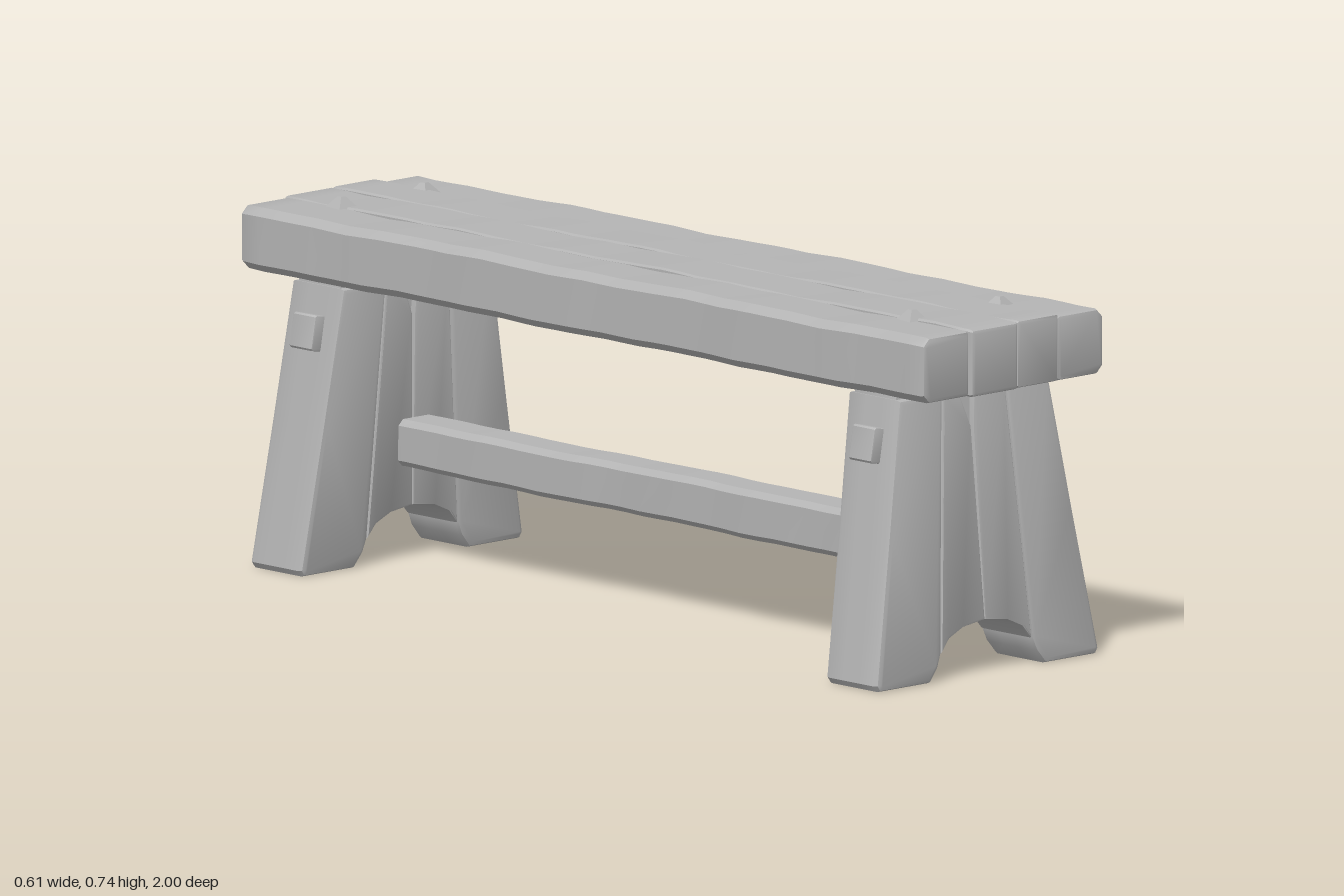
import * as THREE from 'three';
import { toCreasedNormals } from 'three/addons/utils/BufferGeometryUtils.js';

const wood = new THREE.MeshStandardMaterial({ color: 0xb4b4b4 });
wood.name = 'plain grey wood';

const LEG_TOP = 0.575;
const halfWidth = (y) => 0.305 - (0.1 * y) / LEG_TOP;

// Extruded outline, centred in z, with worn edges kept inside the outline
function slab(points, depth, bevel, steps = 1) {
  const shape = new THREE.Shape(points.map(([x, y]) => new THREE.Vector2(x, y)));
  const geo = new THREE.ExtrudeGeometry(shape, {
    depth: depth - 2 * bevel, steps, bevelEnabled: true,
    bevelThickness: bevel, bevelSize: bevel, bevelOffset: -bevel, bevelSegments: 2,
  });
  return geo.translate(0, 0, -depth / 2 + bevel);
}

// Move every vertex by a rule
function bend(geo, rule) {
  const pos = geo.attributes.position;
  const v = new THREE.Vector3();
  for (let i = 0; i < pos.count; i++) {
    v.fromBufferAttribute(pos, i);
    rule(v);
    pos.setXYZ(i, v.x, v.y, v.z);
  }
  return geo;
}

function add(parent, name, geo) {
  const mesh = new THREE.Mesh(toCreasedNormals(geo, 0.7), wood);
  mesh.name = name;
  parent.add(mesh);
  return mesh;
}

// Gentle hand-hewn waviness along z
const wave = (z, k) => Math.sin(z * 9 + k * 2.3) * 0.5 + Math.sin(z * 23 + k * 4.1) * 0.35 + Math.sin(z * 41 + k) * 0.2;

// Rectangle with clipped corners, a different size on each side
function plankOutline(x0, x1, y0, y1, cl, cr) {
  return [[x0 + cl, y0], [x1 - cr, y0], [x1, y0 + cr], [x1, y1 - cr],
    [x1 - cr, y1], [x0 + cl, y1], [x0, y1 - cl], [x0, y0 + cl]];
}

function buildSeat() {
  const seat = new THREE.Group();
  seat.name = 'seat';
  const edges = [-0.247, -0.12, 0.008, 0.122, 0.25];
  const tops = [0.719, 0.722, 0.723, 0.716];
  const lengths = [1.985, 2, 1.994, 1.985];
  for (let i = 0; i < 4; i++) {
    const left = i === 0, right = i === 3;
    const outline = plankOutline(edges[i], edges[i + 1], 0.588, tops[i], left ? 0.016 : 0.004, right ? 0.016 : 0.004);
    const geo = slab(outline, lengths[i], 0.009, 40);
    bend(geo, (v) => {
      const outer = (left && v.x < -0.2) || (right && v.x > 0.2);
      if (outer) v.x += 0.004 * wave(v.z, i);
      if (v.y > 0.66) v.y += 0.003 * wave(v.z, i + 2) + 0.003 * v.z;
      else v.y += 0.002 * wave(v.z, i + 5);
    });
    add(seat, 'seatPlank', geo);
  }
  // Peg heads poking through the top
  for (const [x, z, h] of [[-0.115, 0.82, 0.742], [0.125, 0.82, 0.737], [-0.112, -0.84, 0.738], [0.12, -0.845, 0.735]]) {
    const geo = new THREE.CylinderGeometry(0.008, 0.045, 0.032, 4).rotateY(Math.PI / 4 + x);
    add(seat, 'seatPeg', geo.translate(x, h - 0.016, z));
  }
  return seat;
}

// One trestle end: base and top give the z centre at the floor and at the seat
function buildLeg(name, base, top, thickness) {
  const leg = new THREE.Group();
  leg.name = name;
  const lean = (v) => { v.z += base + ((top - base) * v.y) / 0.59; };
  const seam = 0.42;
  const arch = [[0.1, 0.082], [0.06, 0.1]];

  // Solid core behind the plank seams
  const half = [[0.15, 0.012], [0.121, 0.06], [0.1, 0.09], [0.06, 0.106]];
  const core = [[0.198, 0.6], [0.294, 0.012], ...half, [0, 0.114],
    ...half.map(([x, y]) => [-x, y]).reverse(), [-0.294, 0.012], [-0.198, 0.6]];
  add(leg, 'legCore', bend(slab(core, thickness - 0.03, 0.004), lean));

  for (const s of [1, -1]) {
    const flip = (pts) => pts.map(([x, y]) => [x * s, y]);
    // Splayed outer plank with its foot
    const outer = [[seam * halfWidth(0.055), 0.055], [0.135, 0.028], [0.158, 0],
      [0.297, 0], [0.305, 0.012], [halfWidth(0.3), 0.3],
      [halfWidth(LEG_TOP), LEG_TOP], [seam * halfWidth(LEG_TOP), LEG_TOP]];
    add(leg, 'legOuterPlank', bend(slab(flip(outer), thickness, 0.01, 3), lean));

    // Inner plank above the arch; one side has a split at the top
    const split = s < 0 ? [[0.042, LEG_TOP], [0.012, 0.5]] : [[0.001, LEG_TOP], [-0.006, 0.5]];
    const inner = [[0, 0.108], ...arch.slice().reverse(), [seam * halfWidth(0.055), 0.055],
      [seam * halfWidth(LEG_TOP), LEG_TOP], ...split];
    add(leg, 'legInnerPlank', bend(slab(flip(inner), thickness - 0.004, 0.005, 3), lean));

    // Square peg end, tilted with the leg side
    const peg = slab(plankOutline(-0.03, 0.017, -0.036, 0.036, 0.004, 0.004), 0.066, 0.004);
    const y = 0.482;
    peg.rotateZ(s > 0 ? 0.18 : Math.PI - 0.18);
    peg.translate(s * (halfWidth(y) + 0.008), y, base + ((top - base) * y) / 0.59);
    add(leg, 'sidePeg', peg);
  }
  return leg;
}

export function createModel() {
  const bench = new THREE.Group();
  bench.name = 'bench';
  bench.add(buildSeat());
  bench.add(buildLeg('frontLeg', 0.845, 0.803, 0.152));
  bench.add(buildLeg('backLeg', -0.828, -0.81, 0.152));

  // Stretcher between the legs
  const bar = slab(plankOutline(-0.047, 0.047, 0.188, 0.287, 0.012, 0.012), 1.58, 0.006, 32);
  bend(bar, (v) => {
    v.x += 0.004 * wave(v.z, 1);
    v.y += 0.002 * wave(v.z, v.y > 0.24 ? 3 : 6) + (v.y > 0.24 ? 0 : -0.004 * v.z);
  });
  add(bench, 'stretcher', bar);
  return bench;
}
